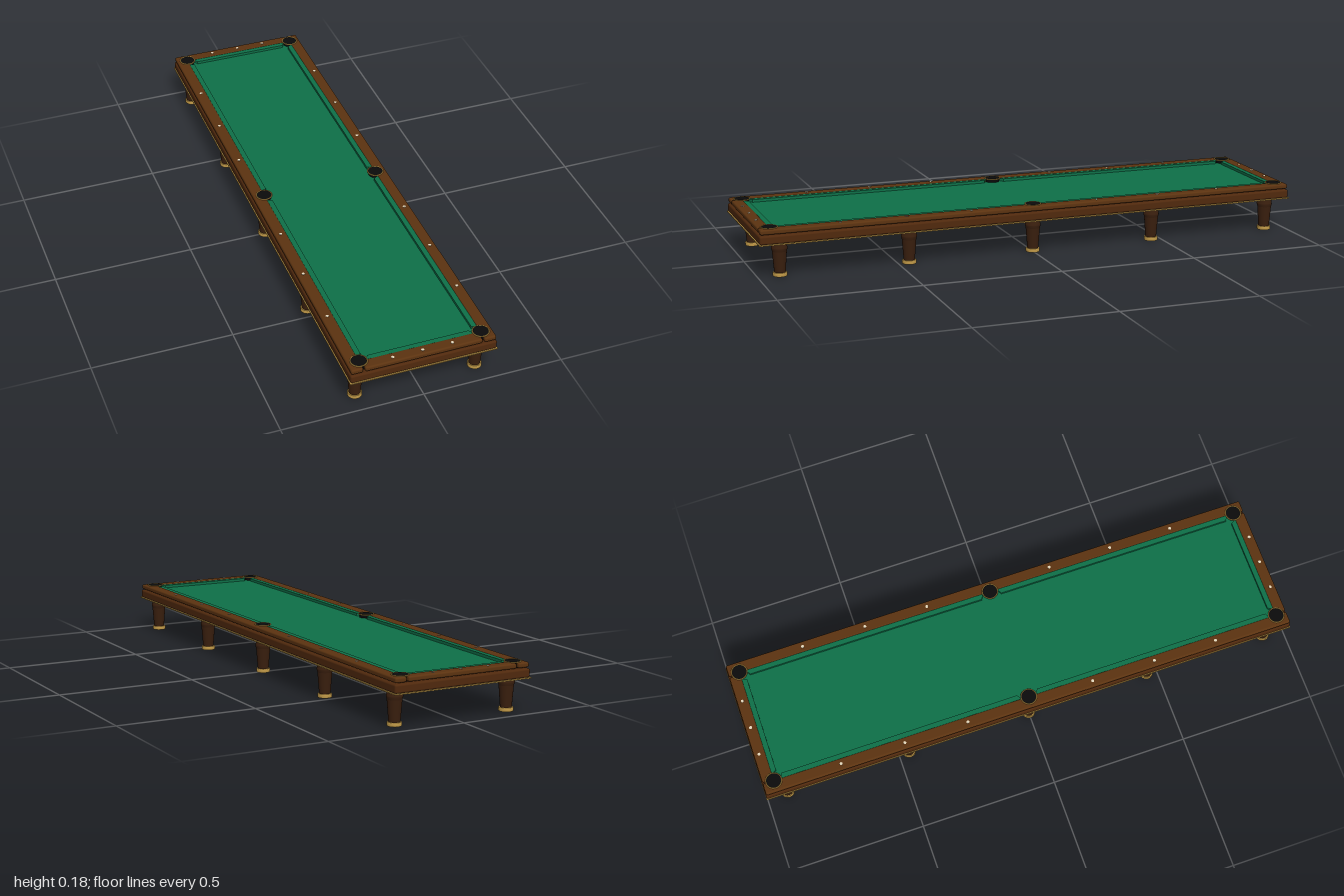
import * as THREE from 'three';
import { RoundedBoxGeometry } from 'three/addons/geometries/RoundedBoxGeometry.js';

const material = (name, color) => {
  const m = new THREE.MeshStandardMaterial({ color });
  m.name = name;
  return m;
};

export function createModel() {
  const railWood = material('rail wood', 0x5c3310);
  const apronWood = material('apron wood', 0x50290d);
  const legWood = material('dark leg wood', 0x3a1f0e);
  const felt = material('green felt', 0x0e7048);
  const brass = material('brass', 0xc29a48);
  const black = material('pocket black', 0x0b0b0b);
  const ivory = material('ivory', 0xe8dcc0);

  const table = new THREE.Group();
  table.name = 'billiardTable';
  const add = (name, geometry, mat, x = 0, y = 0, z = 0, parent = table) => {
    const mesh = new THREE.Mesh(geometry, mat);
    mesh.name = name;
    mesh.position.set(x, y, z);
    parent.add(mesh);
    return mesh;
  };
  const sides = [-1, 1];

  // Body: brass base trim, rounded apron, recessed neck and playing bed
  add('baseTrim', new THREE.BoxGeometry(0.52, 0.004, 2), brass, 0, 0.121, 0);
  add('apron', new RoundedBoxGeometry(0.516, 0.031, 1.996, 3, 0.007), apronWood, 0, 0.1375, 0);
  add('neck', new THREE.BoxGeometry(0.47, 0.006, 1.95), legWood, 0, 0.155, 0);
  add('playingBed', new THREE.BoxGeometry(0.43, 0.004, 1.91), felt, 0, 0.16, 0);

  // Wooden rails around the bed
  const longRail = new RoundedBoxGeometry(0.042, 0.018, 1.99, 3, 0.006);
  const shortRail = new RoundedBoxGeometry(0.412, 0.018, 0.042, 3, 0.006);
  for (const s of sides) {
    add('longRail', longRail, railWood, s * 0.234, 0.165, 0);
    add('shortRail', shortRail, railWood, 0, 0.165, s * 0.974);
  }

  // Felt cushions: mitred in plan, back edge on the rail
  const cushion = (length, depth) => {
    const h = length / 2;
    const shape = new THREE.Shape([
      new THREE.Vector2(-h, 0), new THREE.Vector2(h, 0),
      new THREE.Vector2(h - depth * 0.6, depth), new THREE.Vector2(-h + depth * 0.6, depth),
    ]);
    const g = new THREE.ExtrudeGeometry(shape, { depth: 0.011, bevelEnabled: false });
    return g.rotateX(-Math.PI / 2);
  };
  const longCushion = cushion(0.905, 0.019);
  const shortCushion = cushion(0.38, 0.019);
  for (const s of sides) {
    add('shortCushion', shortCushion, felt, 0, 0.161, s * 0.955).rotation.y = s > 0 ? 0 : Math.PI;
    for (const t of sides) {
      add('longCushion', longCushion, felt, s * 0.215, 0.161, t * 0.479).rotation.y = s * Math.PI / 2;
    }
  }

  // Pockets: black cup with a thin brass rim
  const cup = new THREE.CylinderGeometry(0.027, 0.024, 0.021, 32);
  const rim = new THREE.TorusGeometry(0.028, 0.0022, 8, 40).rotateX(Math.PI / 2);
  for (const x of sides) {
    for (const z of [-0.955, 0, 0.955]) {
      const pocket = new THREE.Group();
      pocket.name = 'pocket';
      pocket.position.set(x * 0.215, 0, z);
      add('pocketCup', cup, black, 0, 0.165, 0, pocket);
      add('pocketRim', rim, brass, 0, 0.1744, 0, pocket);
      table.add(pocket);
    }
  }

  // Ivory sights set in the rails
  const sight = new THREE.CylinderGeometry(0.0055, 0.0055, 0.0015, 16);
  for (const s of sides) {
    for (const z of [0.237, 0.474, 0.711]) {
      for (const t of sides) add('sight', sight, ivory, s * 0.234, 0.1745, t * z);
    }
    for (const x of [-0.105, 0, 0.105]) add('sight', sight, ivory, x, 0.1745, s * 0.976);
  }

  // Turned legs on brass feet, five per side
  const points = (list) => list.map(([r, y]) => new THREE.Vector2(r, y));
  const leg = new THREE.LatheGeometry(points([
    [0.0195, 0.012], [0.0255, 0.088], [0.0255, 0.088], [0.028, 0.097],
    [0.0278, 0.101], [0.0235, 0.118], [0.0235, 0.12],
  ]), 32);
  const foot = new THREE.LatheGeometry(points([
    [0, 0], [0.0235, 0], [0.0235, 0], [0.025, 0.0015], [0.025, 0.0115],
    [0.0235, 0.0135], [0.0235, 0.0135], [0, 0.0135],
  ]), 32);
  for (const s of sides) {
    for (let i = -2; i <= 2; i++) {
      add('leg', leg, legWood, s * 0.215, 0, i * 0.461);
      add('foot', foot, brass, s * 0.215, 0, i * 0.461);
    }
  }
  return table;
}
